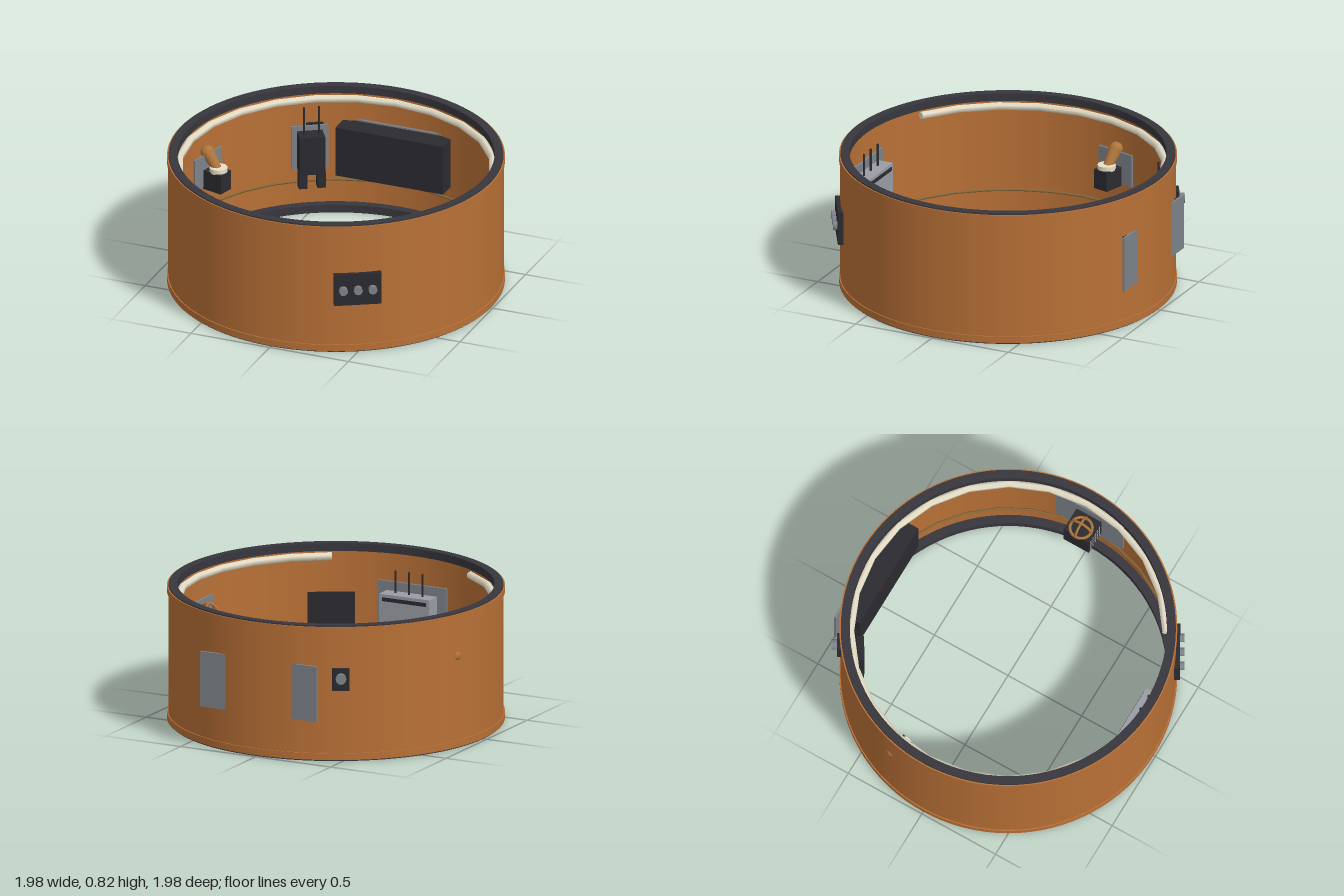
import * as THREE from 'three';

const mat = (name, color, extra = {}) => Object.assign(new THREE.MeshStandardMaterial({ color, ...extra }), { name });

export function createModel() {
  const copper = mat('copper', 0xb87036, { side: THREE.DoubleSide });
  const charcoal = mat('charcoal', 0x37363d);
  const black = mat('black', 0x2b2a30);
  const steel = mat('steel', 0x7d838a);
  const lightGrey = mat('light grey', 0x999da5);
  const cream = mat('cream', 0xe6dfc8);
  const tan = mat('tan', 0xb0763c);
  const wireBrown = mat('wire brown', 0x8a6a3c);

  const model = new THREE.Group();
  model.name = 'equippedRing';
  const ring = new THREE.Group();
  ring.name = 'ring';
  ring.position.x = 0.004;
  model.add(ring);

  const add = (parent, name, geo, material, x = 0, y = 0, z = 0) => {
    const m = new THREE.Mesh(geo, material);
    m.name = name;
    m.position.set(x, y, z);
    parent.add(m);
    return m;
  };
  const box = (p, name, material, w, h, d, x, y, z) => add(p, name, new THREE.BoxGeometry(w, h, d), material, x, y, z);
  const cyl = (p, name, material, r, h, x, y, z, seg = 16) =>
    add(p, name, new THREE.CylinderGeometry(r, r, h, seg), material, x, y, z);

  // Closed rectangular hoop; every face has its own normals
  const hoop = (name, r0, r1, y0, y1, material) => {
    const g = new THREE.Group();
    g.name = name;
    const c = [[r1, y0], [r1, y1], [r0, y1], [r0, y0]];
    c.forEach((a, i) => {
      const pts = [a, c[(i + 1) % 4]].map(q => new THREE.Vector2(...q));
      add(g, name + 'Face', new THREE.LatheGeometry(pts, 96), material);
    });
    ring.add(g);
  };

  // Group whose local +z points outward at an angle measured from the front
  const mount = (name, degrees) => {
    const g = new THREE.Group();
    g.name = name;
    g.rotation.y = THREE.MathUtils.degToRad(degrees);
    ring.add(g);
    return g;
  };

  // Thin shell, outer lips and dark edge rims
  add(ring, 'shell', new THREE.CylinderGeometry(0.984, 0.984, 0.8, 96, 1, true), copper, 0, 0.412, 0);
  for (const [y0, y1] of [[0.01, 0.05], [0.775, 0.815]]) hoop('lip', 0.983, 0.991, y0, y1, copper);
  for (const [y0, y1] of [[0.002, 0.05], [0.775, 0.822]]) hoop('edgeRim', 0.93, 0.982, y0, y1, charcoal);

  // Light tube, open at the front, made of straight runs
  const arc = (r, y, from, to, n) => {
    const path = new THREE.CurvePath();
    const at = i => {
      const a = THREE.MathUtils.degToRad(from + (to - from) * i / n);
      return new THREE.Vector3(r * Math.sin(a), y, r * Math.cos(a));
    };
    for (let i = 0; i < n; i++) path.add(new THREE.LineCurve3(at(i), at(i + 1)));
    return path;
  };
  const tube = new THREE.TubeGeometry(arc(0.925, 0.745, 30, 330, 20), 20, 0.024, 6, false);
  add(ring, 'lightTube', tube, cream);
  for (const a of [30, 330]) {
    const g = mount('lightTubeEnd', a);
    const cap = cyl(g, 'tubeCap', cream, 0.023, 0.004, 0, 0.745, 0.925, 6);
    cap.rotation.z = Math.PI / 2;
  }
  // Thin cable around the inner wall
  add(ring, 'cable', new THREE.TubeGeometry(arc(0.968, 0.2, 0, 360, 32), 32, 0.008, 5, false), wireBrown);

  // Outer switch plate with three knobs
  const panel = mount('knobPanel', 30);
  box(panel, 'panelPlate', black, 0.28, 0.2, 0.035, 0, 0.415, 0.99);
  for (const x of [-0.087, 0, 0.087]) {
    cyl(panel, 'panelKnob', steel, 0.026, 0.03, x, 0.415, 1.018, 12).rotation.x = Math.PI / 2;
  }

  // Front inner terminal box
  const terminal = mount('terminalBox', 0);
  box(terminal, 'terminalPlate', steel, 0.46, 0.35, 0.014, 0, 0.425, 0.944);
  box(terminal, 'terminalBody', lightGrey, 0.335, 0.25, 0.1, 0, 0.42, 0.89);
  box(terminal, 'terminalSlot', black, 0.29, 0.022, 0.008, 0, 0.515, 0.839);
  for (const x of [-0.09, 0, 0.09]) cyl(terminal, 'terminalPin', black, 0.007, 0.14, x, 0.61, 0.9, 8);

  // Back inner power unit; the ends of its plate come through the shell
  const power = mount('powerUnit', 180);
  box(power, 'powerPlate', steel, 0.775, 0.335, 0.014, 0, 0.417, 0.952);
  box(power, 'powerBody', black, 0.685, 0.31, 0.135, 0, 0.42, 0.878);

  // Lamp box with a wire cage
  const lamp = mount('cageLamp', 90);
  box(lamp, 'lampPlate', steel, 0.46, 0.335, 0.014, 0, 0.42, 0.945);
  box(lamp, 'lampBody', black, 0.17, 0.17, 0.15, 0, 0.43, 0.863);
  add(lamp, 'cageBase', new THREE.TorusGeometry(0.066, 0.009, 6, 20), tan, 0, 0.522, 0.845).rotation.x = Math.PI / 2;
  for (const a of [0, Math.PI / 2]) {
    add(lamp, 'cageBow', new THREE.TorusGeometry(0.066, 0.008, 6, 12, Math.PI), tan, 0, 0.53, 0.845).rotation.y = a;
  }
  for (const s of [-1, 1]) for (let i = 0; i < 5; i++) for (let j = 0; j < 5; j++) {
    box(lamp, 'grilleDot', lightGrey, 0.004, 0.012, 0.012, s * 0.086, 0.37 + i * 0.03, 0.81 + j * 0.025);
  }

  // Lever switch whose tip comes through the shell
  const lever = mount('leverSwitch', -105);
  box(lever, 'leverPlate', steel, 0.26, 0.2, 0.012, 0, 0.45, 0.95);
  box(lever, 'leverBody', black, 0.1, 0.12, 0.13, 0, 0.4, 0.88);
  cyl(lever, 'leverCollar', cream, 0.054, 0.03, 0, 0.47, 0.87, 14);
  const stick = new THREE.Group();
  stick.name = 'leverStick';
  stick.position.set(0, 0.47, 0.88);
  stick.rotation.x = 0.67;
  lever.add(stick);
  add(stick, 'leverHandle', new THREE.CylinderGeometry(0.042, 0.028, 0.12, 14), tan, 0, 0.06, 0);
  add(stick, 'leverTip', new THREE.SphereGeometry(0.042, 14, 8), tan, 0, 0.115, 0);

  // Plug unit inside, with a small knob outside
  const plug = mount('plugUnit', -148);
  box(plug, 'plugPlate', steel, 0.22, 0.28, 0.012, 0, 0.42, 0.955);
  box(plug, 'plugBody', black, 0.15, 0.24, 0.11, 0, 0.41, 0.9);
  for (const s of [-1, 1]) {
    box(plug, 'plugLeg', black, 0.05, 0.1, 0.05, s * 0.055, 0.25, 0.875);
    cyl(plug, 'plugWire', black, 0.006, 0.18, s * 0.045, 0.62, 0.89, 8);
  }
  const dial = mount('outerDial', -150);
  box(dial, 'dialPlate', black, 0.1, 0.135, 0.03, 0, 0.5, 0.99);
  cyl(dial, 'dialKnob', steel, 0.031, 0.035, 0, 0.51, 1.02, 12).rotation.x = Math.PI / 2;

  return model;
}
